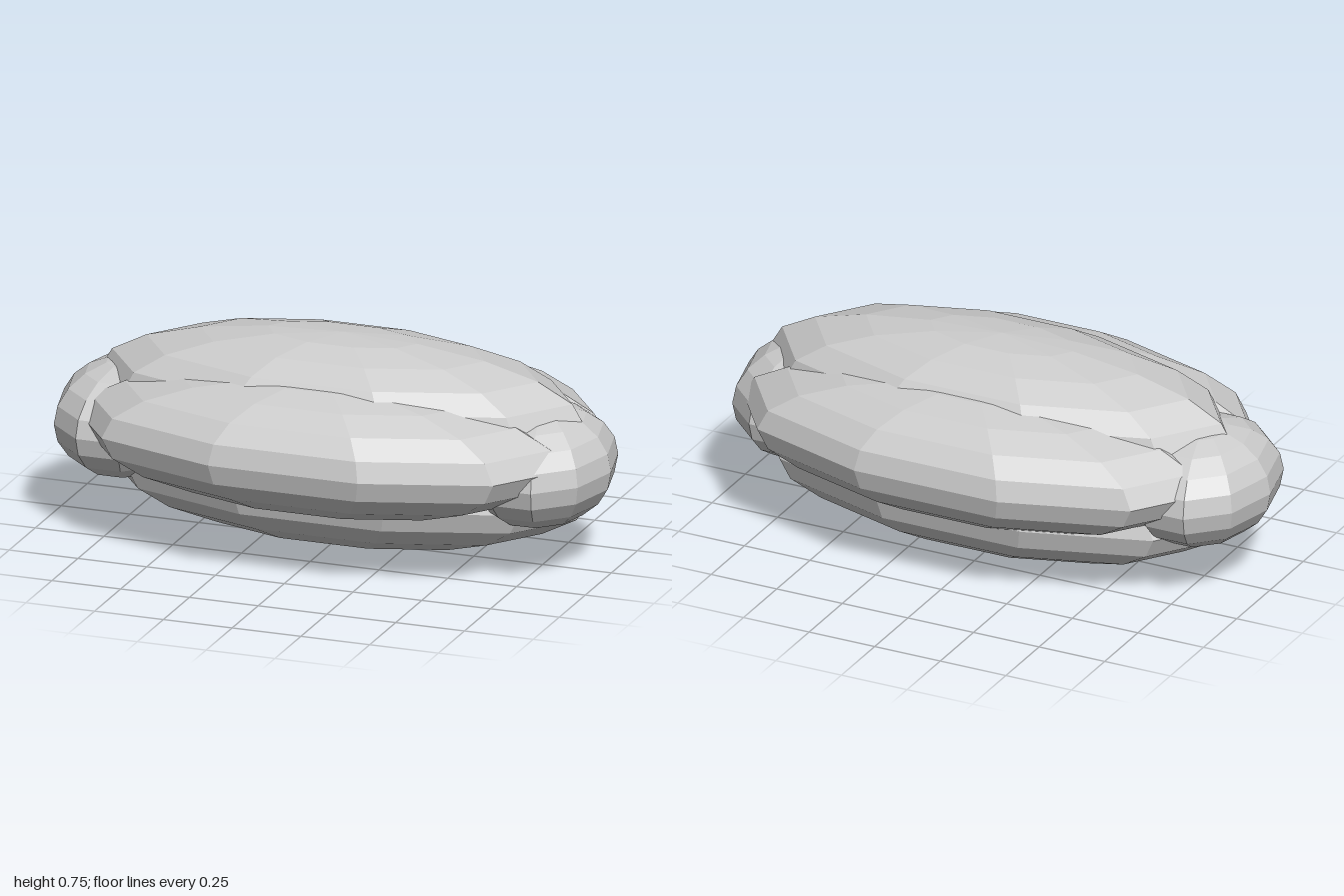
import * as THREE from 'three';

// Faceted ellipsoid lobe: centre and radii
function lobe(name, [x, y, z], [rx, ry, rz], material) {
  const geometry = new THREE.SphereGeometry(1, 10, 10);
  geometry.scale(rx, ry, rz);
  const mesh = new THREE.Mesh(geometry, material);
  mesh.position.set(x, y, z);
  mesh.name = name;
  return mesh;
}

export function createModel() {
  const group = new THREE.Group();
  group.name = 'lobedCushion';
  const material = new THREE.MeshStandardMaterial({ color: 0xcccccc, flatShading: true });

  // Four long lobes running side to side
  const long = [0.88, 0.232, 0.386];
  group.add(
    lobe('topLobe', [0.022, 0.52, 0], long, material),
    lobe('bottomLobe', [0.022, 0.235, -0.04], long, material),
    lobe('frontLobe', [0.022, 0.42, 0.207], long, material),
    lobe('backLobe', [0.022, 0.42, -0.209], long, material),
  );

  // Rounded caps at both ends
  for (const side of [1, -1]) {
    group.add(lobe(side > 0 ? 'leftEndCap' : 'rightEndCap',
      [side * 0.75, 0.365, 0.003], [0.25, 0.205, 0.332], material));
  }
  return group;
}
